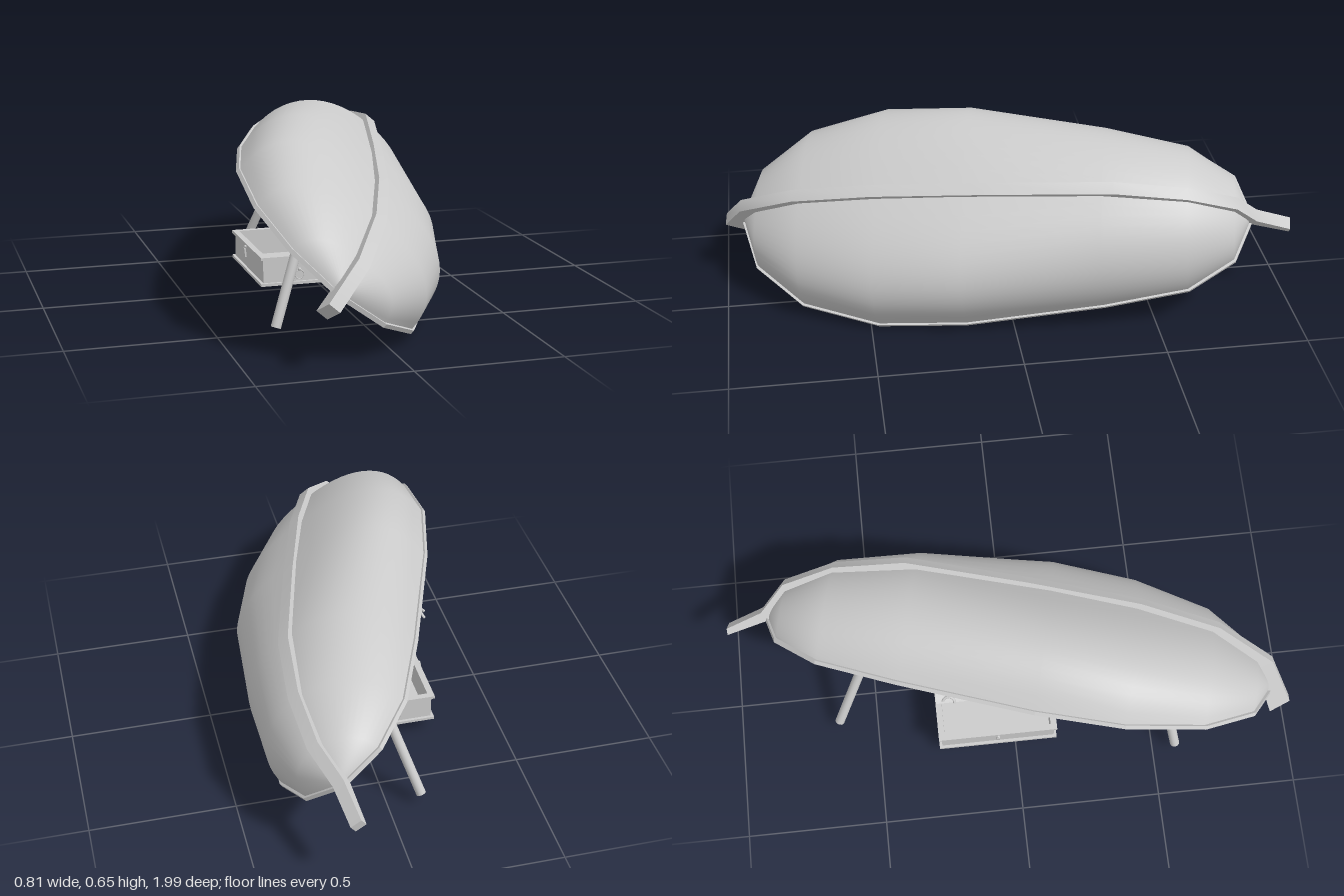
import * as THREE from 'three';
import { toCreasedNormals } from 'three/addons/utils/BufferGeometryUtils.js';

const grey = new THREE.MeshStandardMaterial({ color: 0xcccccc, side: THREE.DoubleSide });
const flat = new THREE.MeshStandardMaterial({ color: 0xcccccc, side: THREE.DoubleSide, flatShading: true });

function add(parent, name, geometry, material = grey) {
  const mesh = new THREE.Mesh(geometry, material);
  mesh.name = name;
  parent.add(mesh);
  return mesh;
}

// Surface through rows of equally many points
function loft(rows) {
  const n = rows[0].length, index = [];
  for (let i = 0; i < rows.length - 1; i++) {
    for (let j = 0; j < n - 1; j++) {
      const a = i * n + j, b = a + n;
      index.push(a, a + 1, b, b, a + 1, b + 1);
    }
  }
  const g = new THREE.BufferGeometry();
  g.setAttribute('position', new THREE.Float32BufferAttribute(rows.flat(2), 3));
  g.setIndex(index);
  g.computeVertexNormals();
  return g;
}

// Flat outline given thickness, smooth along its bends
function extrude(points, depth) {
  const shape = new THREE.Shape(points.map(p => new THREE.Vector2(...p)));
  const g = new THREE.ExtrudeGeometry(shape, { depth, bevelEnabled: false });
  return toCreasedNormals(g.translate(0, 0, -depth / 2), 0.6);
}

// Hull stations: position along the boat, half width, depth, fullness
const stations = [
  [-0.91, 0.015, 0.03, 2.5], [-0.845, 0.185, 0.115, 2.4], [-0.667, 0.323, 0.21, 2.4],
  [-0.39, 0.394, 0.258, 2.7], [-0.08, 0.388, 0.28, 3], [0.4, 0.32, 0.288, 2.25],
  [0.69, 0.26, 0.228, 2.05], [0.85, 0.152, 0.128, 2.1], [0.905, 0.015, 0.03, 2.2],
];

// Rounded, full cross-section, shrunk by t for the inside
function section([s, a, b, full], t) {
  const row = [], e = 2 / full;
  const half = Math.max(a - t, 0.004), deep = Math.max(b - t, 0.01);
  for (let i = 0; i <= 28; i++) {
    const q = Math.PI * i / 28, c = Math.cos(q);
    row.push([s * (1 - t), deep * Math.pow(Math.max(Math.sin(q), 0), e),
      half * Math.sign(c) * Math.pow(Math.abs(c), e)]);
  }
  return row;
}

// Closed line round the rim, moved inward by t, at height u
function rimLine(t, u) {
  const side = k => stations.map(([s, a]) => [s * (1 - t), u, k * Math.max(a - t, 0.004)]);
  const one = side(1);
  return [...one, ...side(-1).reverse(), one[0]];
}

function makeBoat() {
  const boat = new THREE.Group();
  boat.name = 'overturnedBoat';
  add(boat, 'hullOutside', loft(stations.map(st => section(st, 0))));
  add(boat, 'hullInside', loft(stations.map(st => section(st, 0.018).reverse())));

  // Lip all the way round the edge of the planking
  add(boat, 'gunwale', loft([
    rimLine(0, 0.006), rimLine(-0.007, 0.006), rimLine(-0.007, -0.009), rimLine(0.02, -0.009), rimLine(0.02, 0.006),
  ]), flat);

  // Keel, with the bow block and the pointed stern
  const keel = add(boat, 'keel', extrude([
    [-0.99, -0.025], [-0.9, 0.122], [-0.69, 0.228], [-0.4, 0.278], [0, 0.298], [0.44, 0.306],
    [0.69, 0.247], [0.86, 0.15], [0.93, 0.025], [1.05, -0.06], [1.045, -0.085], [0.9, 0],
    [0.84, 0.1], [0.67, 0.21], [0.43, 0.277], [0, 0.27], [-0.4, 0.245], [-0.66, 0.19],
    [-0.85, 0.085], [-0.895, -0.01], [-0.93, -0.08],
  ], 0.044));
  keel.position.z = -0.004;

  // Oarlocks hanging from both edges
  for (const k of [-1, 1]) {
    const lock = new THREE.Group();
    lock.name = 'oarlock';
    add(lock, 'oarlockFork', new THREE.TorusGeometry(0.02, 0.005, 8, 16, Math.PI)).position.y = -0.04;
    add(lock, 'oarlockPin', new THREE.CylinderGeometry(0.005, 0.005, 0.03, 10)).position.y = -0.008;
    lock.position.set(0.215, 0, k * 0.338);
    boat.add(lock);
  }

  // Lean the whole boat on its side
  const along = new THREE.Vector3(0.235, 0.055, -0.97).normalize();
  const up = new THREE.Vector3(0.617, 0.756, 0.193);
  up.addScaledVector(along, -up.dot(along)).normalize();
  const across = new THREE.Vector3().crossVectors(along, up);
  boat.applyMatrix4(new THREE.Matrix4().makeBasis(along, up, across).setPosition(0, 0.281, 0.035));
  return boat;
}

function pole(parent, name, from, to, radius) {
  const a = new THREE.Vector3(...from), b = new THREE.Vector3(...to);
  const mesh = add(parent, name, new THREE.CylinderGeometry(radius, radius, a.distanceTo(b), 14));
  mesh.position.copy(a).lerp(b, 0.5);
  mesh.quaternion.setFromUnitVectors(new THREE.Vector3(0, 1, 0), b.sub(a).normalize());
}

function makeChest() {
  const chest = new THREE.Group();
  chest.name = 'chest';
  const W = 0.26, D = 0.41, T = 0.012;
  const box = (name, w, h, d, x, y, z) => {
    const mesh = add(chest, name, new THREE.BoxGeometry(w, h, d));
    mesh.position.set(x, y, z);
    return mesh;
  };

  // Open box with a flange below and a frame above
  box('chestBase', W + 0.02, 0.01, D + 0.02, 0, 0.055, 0);
  for (const k of [-1, 1]) {
    box('chestSide', T, 0.09, D, k * (W - T) / 2, 0.1, 0);
    box('chestEnd', W, 0.09, T, 0, 0.1, k * (D - T) / 2);
    box('chestRimSide', 0.022, 0.01, D + 0.02, k * (W - 0.002) / 2, 0.148, 0);
    box('chestRimEnd', W + 0.02, 0.01, 0.022, 0, 0.148, k * (D - 0.002) / 2);

    // Ring handle on each end
    const ring = add(chest, 'handleRing', new THREE.TorusGeometry(0.016, 0.002, 6, 20));
    ring.position.set(0, 0.084, k * (D / 2 + 0.005));
    add(chest, 'handleKnob', new THREE.SphereGeometry(0.006, 10, 8)).position.set(0, 0.103, k * (D / 2 + 0.004));
  }

  // Latch on the long side
  add(chest, 'latchKnob', new THREE.SphereGeometry(0.006, 10, 8)).position.set(-W / 2 - 0.012, 0.143, 0);
  box('latchHook', 0.006, 0.032, 0.012, -W / 2 - 0.014, 0.122, 0).rotation.z = 0.12;

  // Barrel lid: an arched shell, hinged on the far long side and half open
  const arc = (rx, ry) => Array.from({ length: 17 }, (_, i) => {
    const q = Math.PI * i / 16;
    return [-0.138 + rx * Math.cos(q), ry * Math.sin(q)];
  });
  const lid = add(chest, 'lid', extrude([...arc(0.138, 0.1), ...arc(0.128, 0.09).reverse()], D + 0.01));
  lid.position.set(0.135, 0.162, 0);
  lid.rotation.z = -0.76;

  chest.position.set(-0.122, 0, -0.065);
  return chest;
}

export function createModel() {
  const model = new THREE.Group();
  model.name = 'boatShelter';
  model.add(makeBoat());

  // Poles propping up the raised side
  pole(model, 'frontPole', [-0.325, 0.036, 0.58], [-0.15, 0.55, 0.49], 0.017);
  pole(model, 'backPole', [-0.112, 0.04, -0.638], [0.07, 0.57, -0.43], 0.017);

  model.add(makeChest());
  return model;
}
